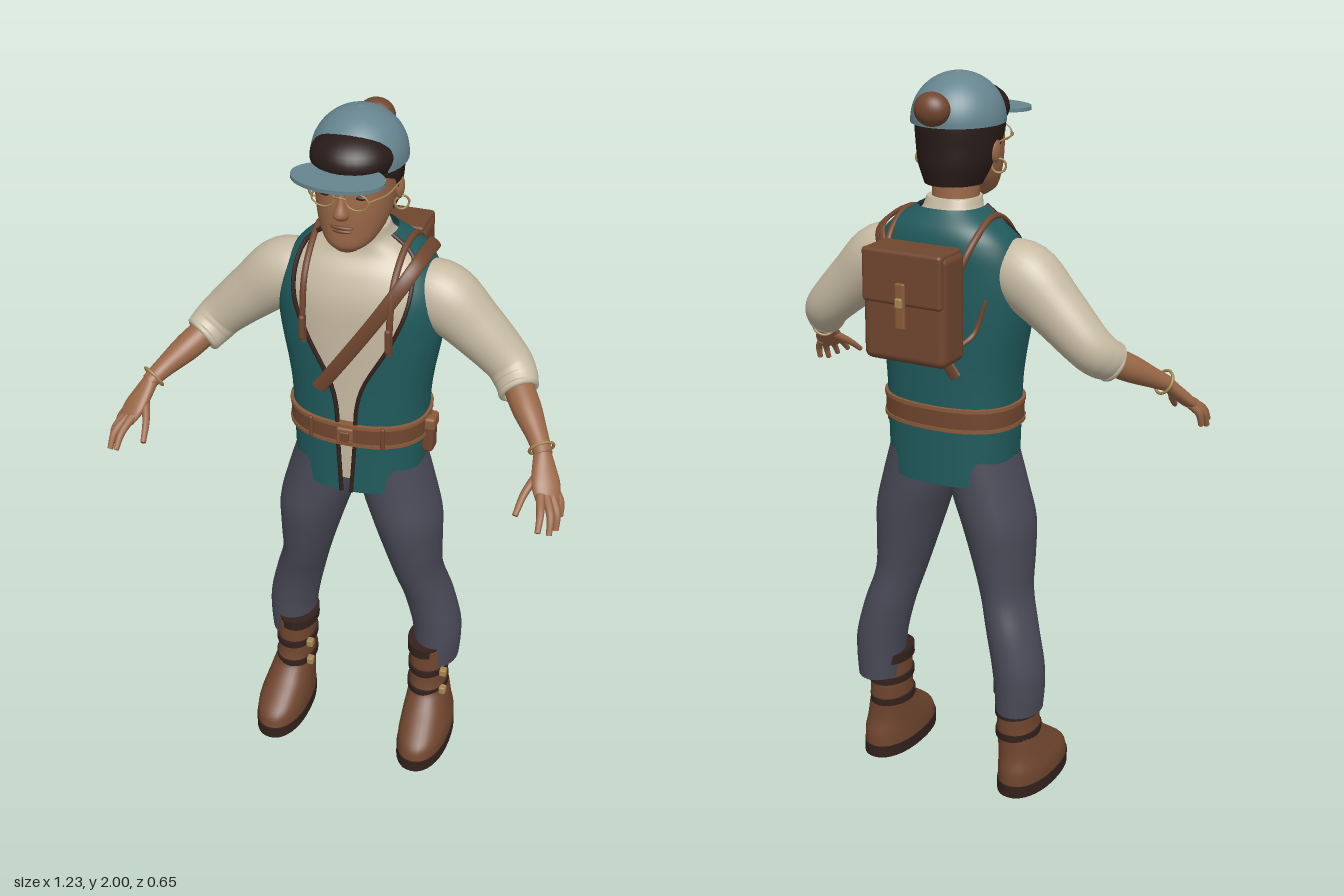
import * as THREE from 'three';
import { RoundedBoxGeometry } from 'three/addons/geometries/RoundedBoxGeometry.js';

const V = (x, y, z) => new THREE.Vector3(x, y, z);
const paint = (name, color, side = THREE.FrontSide) => {
  const m = new THREE.MeshStandardMaterial({ color, side });
  m.name = name;
  return m;
};

// Skin a row of elliptical sections [x, y, z, halfWidth, halfDepth, frontOpening].
// flat: sections stay horizontal; ref: direction the depth axis points to; e < 1 squares the ellipse.
function loft(rows, { flat = false, ref = V(0, 0, 1), e = 1, open = false, cap = !open, n = 32, sub = 5 } = {}) {
  const smooth = (i) => new THREE.CatmullRomCurve3(rows.map((r) => V(r[i], r[i + 1], r[i + 2] || 0)), false, 'catmullrom', 0.5);
  const centre = smooth(0), size = smooth(3);
  const steps = (rows.length - 1) * sub, pos = [], index = [], cols = open ? n + 1 : n;
  const ring = (u, scale) => {
    const c = centre.getPoint(u), s = size.getPoint(u);
    const t = flat ? V(0, 1, 0) : centre.getTangent(u);
    const r = typeof ref === 'function' ? ref(c) : ref;
    const side = t.clone().cross(r).normalize(), out = side.clone().cross(t);
    const gap = open ? Math.asin(Math.min(1, Math.max(0, s.z / s.x)) ** (1 / e)) : 0;
    for (let j = 0; j < cols; j++) {
      const a = gap + (j / n) * (2 * Math.PI - 2 * gap), sn = Math.sin(a), cs = Math.cos(a);
      const p = c.clone()
        .addScaledVector(side, scale * s.x * Math.sign(sn) * Math.abs(sn) ** e)
        .addScaledVector(out, scale * s.y * Math.sign(cs) * Math.abs(cs) ** e);
      pos.push(p.x, p.y, p.z);
    }
  };
  if (cap) { ring(0, 0); ring(0, 1); }
  for (let i = 0; i <= steps; i++) ring(i / steps, 1);
  if (cap) { ring(1, 1); ring(1, 0); }
  const count = pos.length / 3 / cols;
  for (let i = 0; i < count - 1; i++) {
    for (let j = 0; j < n; j++) {
      const k = (j + 1) % cols, a = i * cols + j, b = i * cols + k;
      index.push(a, b, b + cols, a, b + cols, a + cols);
    }
  }
  const g = new THREE.BufferGeometry();
  g.setAttribute('position', new THREE.Float32BufferAttribute(pos, 3));
  g.setIndex(index);
  g.computeVertexNormals();
  return g;
}

export function createModel() {
  const model = new THREE.Group();
  const teal = paint('teal cloth', 0x205a5c, THREE.DoubleSide);
  const cream = paint('cream cloth', 0xc6baa2);
  const slate = paint('slate trousers', 0x4a4a58);
  const leather = paint('brown leather', 0x70462f);
  const dark = paint('dark leather', 0x33211c);
  const skin = paint('skin', 0x9a6848);
  const hairMat = paint('hair', 0x281b18, THREE.DoubleSide);
  const blue = paint('hat blue', 0x66858f);
  const gold = paint('brass', 0xa68650);
  const tan = paint('belt tan', 0x8a5a3a);

  const add = (name, geo, mat, x = 0, y = 0, z = 0) => {
    const m = new THREE.Mesh(geo, mat);
    m.name = name;
    m.position.set(x, y, z);
    model.add(m);
    return m;
  };
  const ball = (name, mat, x, y, z, rx, ry, rz) => {
    const m = add(name, new THREE.SphereGeometry(1, 32, 20), mat, x, y, z);
    m.scale.set(rx, ry, rz);
    return m;
  };
  const box = (name, mat, x, y, z, w, h, d, r = 0.008) =>
    add(name, new RoundedBoxGeometry(w, h, d, 3, Math.min(r, w / 2.1, h / 2.1, d / 2.1)), mat, x, y, z);
  const band = (name, mat, x, y, z, a, b, h, e = 1) =>
    add(name, loft([[x, y - h / 2, z, a, b], [x, y + h / 2, z, a, b]], { flat: true, sub: 1, n: 40, e }), mat);
  const tube = (name, mat, pts, r) =>
    add(name, new THREE.TubeGeometry(new THREE.CatmullRomCurve3(pts.map((p) => V(...p))), 32, r, 6), mat);

  // Shirt body
  add('shirt', loft([
    [0, 0.96, -0.035, 0.165, 0.12], [0, 1.1, -0.035, 0.172, 0.125], [0, 1.25, -0.035, 0.18, 0.125],
    [0, 1.4, -0.035, 0.205, 0.126], [0, 1.5, -0.035, 0.207, 0.122], [0, 1.57, -0.045, 0.185, 0.108],
    [0, 1.615, -0.055, 0.145, 0.088], [0, 1.65, -0.045, 0.085, 0.072], [0, 1.685, -0.035, 0.07, 0.066],
  ], { flat: true, e: 0.85, n: 40 }), cream);

  // Open vest with dark edging
  const vest = [
    [0, 0.93, -0.035, 0.178, 0.138, 0.014], [0, 1.1, -0.035, 0.184, 0.135, 0.024], [0, 1.2, -0.035, 0.188, 0.135, 0.028],
    [0, 1.27, -0.035, 0.197, 0.135, 0.045], [0, 1.4, -0.035, 0.219, 0.136, 0.112], [0, 1.5, -0.037, 0.221, 0.134, 0.15],
    [0, 1.57, -0.05, 0.197, 0.122, 0.155], [0, 1.62, -0.062, 0.154, 0.1, 0.14], [0, 1.665, -0.05, 0.088, 0.08, 0.084],
  ];
  add('vest', loft(vest, { flat: true, e: 0.85, open: true, n: 56, sub: 8 }), teal);
  for (const s of [-1, 1]) {
    tube('vestEdging', dark, vest.map(([, y, z, a, b, w]) =>
      [s * w, y, z + b * (1 - (w / a) ** (2 / 0.85)) ** 0.425]), 0.006);
  }

  // Belt, buckle and hip pouch
  band('belt', leather, 0, 1.118, -0.034, 0.191, 0.142, 0.06, 0.85);
  for (const y of [1.09, 1.146]) band('beltEdge', tan, 0, y, -0.034, 0.194, 0.145, 0.01, 0.85);
  box('buckle', tan, 0, 1.118, 0.112, 0.046, 0.05, 0.012);
  box('buckleCentre', leather, 0, 1.118, 0.118, 0.026, 0.03, 0.008);
  for (const x of [-0.1, 0.1]) box('beltLoop', leather, x, 1.118, 0.098, 0.012, 0.068, 0.012);
  box('pouch', leather, 0.193, 1.085, -0.025, 0.034, 0.11, 0.05, 0.012);
  box('pouchFlap', tan, 0.197, 1.12, -0.025, 0.034, 0.04, 0.054, 0.01);

  // Shoulder strap and backpack straps
  const fromChest = (p) => V(p.x, p.y - 1.38, p.z + 0.035).normalize();
  add('crossStrap', loft([
    [-0.075, 1.25, 0.106], [0, 1.36, 0.112], [0.08, 1.48, 0.104], [0.14, 1.575, 0.075], [0.168, 1.62, 0.02],
    [0.172, 1.62, -0.06], [0.16, 1.59, -0.145], [0.1, 1.49, -0.178], [0, 1.35, -0.178], [-0.08, 1.24, -0.172],
  ].map((p) => [...p, 0.019, 0.006]), { ref: fromChest, n: 16 }), leather);
  for (const s of [-1, 1]) {
    add('packStrap', loft([
      [s * 0.115, 1.385, 0.1], [s * 0.116, 1.48, 0.1], [s * 0.117, 1.57, 0.076], [s * 0.12, 1.632, 0.0],
      [s * 0.125, 1.642, -0.08], [s * 0.12, 1.59, -0.165], [s * 0.1, 1.52, -0.2],
    ].map((p) => [...p, 0.009, 0.008]), { ref: fromChest, n: 12 }), leather);
    box('strapEnd', leather, s * 0.115, 1.43, 0.112, 0.016, 0.07, 0.014);
    tube('lowerPackStrap', leather, [[s * 0.1, 1.33, -0.21], [s * 0.125, 1.36, -0.16], [s * 0.15, 1.45, -0.14]], 0.007);
  }

  // Backpack
  box('backpack', leather, 0, 1.445, -0.247, 0.24, 0.29, 0.112, 0.022);
  box('packFlap', leather, 0, 1.525, -0.3, 0.23, 0.14, 0.024, 0.01);
  box('packRim', leather, 0, 1.585, -0.255, 0.225, 0.02, 0.11, 0.009);
  box('packTongue', tan, 0, 1.455, -0.313, 0.028, 0.12, 0.012, 0.005);
  box('packClasp', gold, 0, 1.465, -0.321, 0.02, 0.026, 0.012, 0.004);

  for (const s of [-1, 1]) {
    // Sleeve and rolled cuff
    add('sleeve', loft([
      [s * 0.12, 1.53, -0.045, 0.06, 0.065], [s * 0.21, 1.5, -0.045, 0.09, 0.085], [s * 0.3, 1.425, -0.045, 0.077, 0.075],
      [s * 0.385, 1.345, -0.042, 0.064, 0.063], [s * 0.418, 1.31, -0.022, 0.06, 0.056], [s * 0.436, 1.29, 0.008, 0.055, 0.048],
    ]), cream);
    const cuff = add('sleeveCuff', new THREE.TorusGeometry(0.046, 0.009, 10, 32), cream, s * 0.436, 1.29, 0.008);
    cuff.lookAt(s * 0.49, 1.24, 0.08);

    // Forearm, palm and fingers
    const back = V(s * 0.4, 0.8, 0.5).normalize();
    add('forearm', loft([
      [s * 0.41, 1.315, -0.03, 0.038, 0.038], [s * 0.465, 1.268, 0.045, 0.039, 0.037],
      [s * 0.51, 1.23, 0.105, 0.029, 0.027], [s * 0.54, 1.203, 0.15, 0.024, 0.02],
    ], { ref: back }), skin);
    add('palm', loft([
      [s * 0.535, 1.208, 0.142, 0.022, 0.019], [s * 0.549, 1.178, 0.175, 0.032, 0.019],
      [s * 0.563, 1.15, 0.206, 0.038, 0.018], [s * 0.576, 1.122, 0.236, 0.03, 0.011],
    ], { ref: back }), skin);
    [ // base, knuckle, tip of each finger, thumb first
      [[0.542, 1.175, 0.178], [0.516, 1.138, 0.235], [0.505, 1.1, 0.285]],
      [[0.556, 1.14, 0.235], [0.568, 1.115, 0.282], [0.571, 1.083, 0.316]],
      [[0.57, 1.135, 0.23], [0.592, 1.108, 0.272], [0.597, 1.07, 0.3]],
      [[0.58, 1.133, 0.218], [0.603, 1.104, 0.247], [0.607, 1.064, 0.266]],
      [[0.585, 1.138, 0.2], [0.604, 1.112, 0.212], [0.608, 1.077, 0.222]],
    ].forEach((f) => add('finger', loft(
      f.map(([x, y, z], i) => [s * x, y, z, 0.0125 - i * 0.0025, 0.0125 - i * 0.0025]), { ref: back, n: 12 }), skin));
    const bangle = add('bracelet', new THREE.TorusGeometry(0.032, 0.004, 8, 32), gold, s * 0.531, 1.212, 0.136);
    bangle.lookAt(s * 0.56, 1.182, 0.18);

    // Trouser leg
    add('trouserLeg', loft([
      [s * 0.225, 0.265, -0.07, 0.063, 0.078], [s * 0.225, 0.33, -0.07, 0.068, 0.08], [s * 0.219, 0.4, -0.07, 0.071, 0.081],
      [s * 0.196, 0.5, -0.062, 0.07, 0.084], [s * 0.168, 0.6, -0.042, 0.069, 0.091], [s * 0.152, 0.7, -0.033, 0.083, 0.106],
      [s * 0.135, 0.8, -0.03, 0.098, 0.119], [s * 0.107, 0.9, -0.033, 0.102, 0.12], [s * 0.085, 1.02, -0.035, 0.088, 0.118],
    ], { flat: true }), slate);

    // Boot, sole, straps and buckles
    add('boot', loft([
      [s * 0.222, 0.03, 0.025, 0.073, 0.152], [s * 0.222, 0.07, 0.018, 0.073, 0.144], [s * 0.218, 0.11, -0.002, 0.067, 0.115],
      [s * 0.214, 0.15, -0.027, 0.06, 0.088], [s * 0.209, 0.2, -0.043, 0.054, 0.073], [s * 0.207, 0.33, -0.046, 0.054, 0.072],
    ], { flat: true, e: 0.9 }), leather);
    band('sole', dark, s * 0.222, 0.0175, 0.025, 0.075, 0.156, 0.035, 0.9);
    band('bootCuff', dark, s * 0.202, 0.323, -0.048, 0.058, 0.078, 0.03);
    for (const y of [0.25, 0.18]) {
      band('bootStrap', dark, s * 0.208, y, y < 0.2 ? -0.04 : -0.045, 0.06, 0.08, 0.02);
      box('bootBuckle', gold, s * 0.208 + 0.056, y, 0.0, 0.02, 0.024, 0.022, 0.004);
    }
  }

  // Neck, head and face
  add('neck', loft([[0, 1.62, -0.04, 0.062, 0.06], [0, 1.68, -0.03, 0.062, 0.062], [0, 1.76, -0.02, 0.066, 0.07]], { flat: true }), skin);
  add('head', loft([
    [0, 1.668, 0.078, 0.03, 0.035], [0, 1.69, 0.055, 0.062, 0.074], [0, 1.73, 0.027, 0.085, 0.104],
    [0, 1.78, 0.01, 0.097, 0.122], [0, 1.83, 0.003, 0.102, 0.126], [0, 1.88, 0, 0.104, 0.126], [0, 1.93, -0.01, 0.09, 0.1],
  ], { flat: true, e: 0.92 }), skin);
  add('nose', loft([
    [0, 1.768, 0.128, 0.017, 0.016], [0, 1.782, 0.132, 0.02, 0.024], [0, 1.81, 0.13, 0.011, 0.014], [0, 1.84, 0.125, 0.008, 0.008],
  ], { flat: true, n: 16 }), skin);
  ball('upperLip', leather, 0, 1.744, 0.128, 0.03, 0.006, 0.01);
  ball('lowerLip', leather, 0, 1.733, 0.125, 0.025, 0.006, 0.01);
  for (const s of [-1, 1]) {
    ball('ear', skin, s * 0.104, 1.805, -0.01, 0.012, 0.032, 0.02);
    ball('eye', dark, s * 0.043, 1.824, 0.117, 0.017, 0.006, 0.007);
    const brow = ball('eyebrow', hairMat, s * 0.045, 1.852, 0.12, 0.027, 0.006, 0.009);
    brow.rotation.set(0, s * 0.3, s * 0.18);
    add('glassesRim', new THREE.TorusGeometry(0.029, 0.0025, 6, 32), gold, s * 0.043, 1.823, 0.14).scale.y = 0.75;
    tube('glassesArm', gold, [[s * 0.072, 1.826, 0.138], [s * 0.102, 1.828, 0.09], [s * 0.11, 1.825, -0.01]], 0.0025);
    add('earring', new THREE.TorusGeometry(0.018, 0.003, 6, 24), gold, s * 0.112, 1.765, -0.005).rotation.y = 0.5;
  }
  tube('glassesBridge', gold, [[-0.015, 1.827, 0.141], [0, 1.832, 0.147], [0.015, 1.827, 0.141]], 0.0025);

  // Hair: back and sides, and the fringe above the brim
  add('hair', loft([
    [0, 1.72, -0.03, 0.078, 0.09, 0.078], [0, 1.77, -0.018, 0.1, 0.112, 0.1], [0, 1.82, -0.01, 0.109, 0.122, 0.106],
    [0, 1.86, -0.005, 0.113, 0.13, 0.095], [0, 1.89, -0.005, 0.113, 0.13, 0.01],
  ], { flat: true, open: true, n: 40 }), hairMat);
  ball('fringe', hairMat, 0, 1.9, 0.045, 0.104, 0.066, 0.1);

  // Cap crown, rim, brim, top button and bobble
  const crown = add('capCrown', new THREE.SphereGeometry(1, 40, 20, 0, Math.PI * 2, 0, Math.PI / 2), blue, 0, 1.878, -0.015);
  crown.scale.set(0.121, 0.12, 0.13);
  band('capRim', blue, 0, 1.878, -0.015, 0.121, 0.13, 0.012);
  band('capBrim', blue, 0, 1.886, 0.153, 0.117, 0.075, 0.01);
  ball('capButton', blue, 0, 1.996, -0.02, 0.012, 0.004, 0.012);
  ball('bobble', leather, 0, 1.92, -0.15, 0.048, 0.043, 0.04);

  return model;
}
